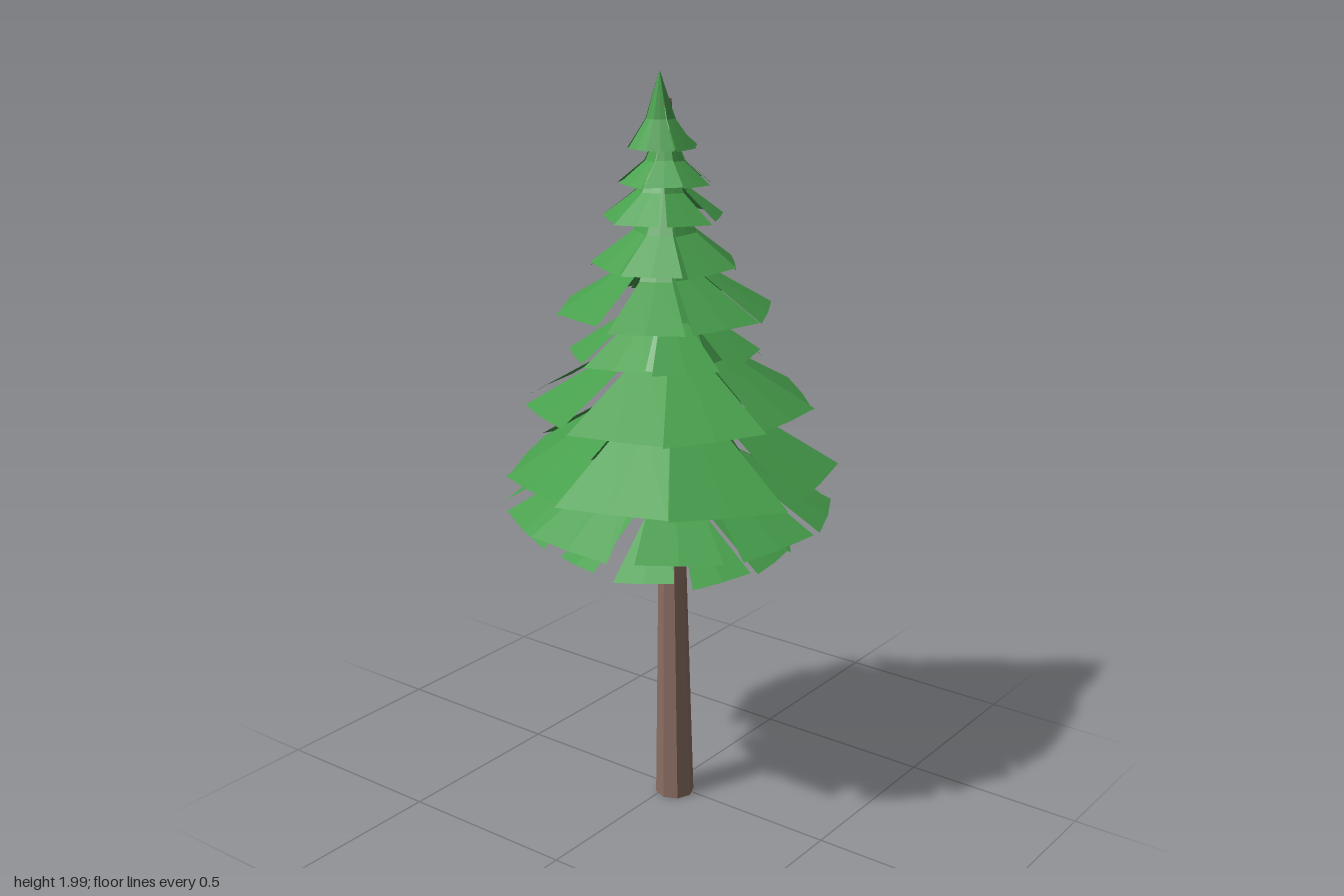
import * as THREE from 'three';

const bark = new THREE.MeshStandardMaterial({ color: 0x8a6d61, flatShading: true, side: THREE.DoubleSide });
bark.name = 'bark brown';
const needles = new THREE.MeshStandardMaterial({ color: 0x479f4c, flatShading: true, side: THREE.DoubleSide });
needles.name = 'needle green';

// Small seeded generator returning -1..1
function makeJitter(seed) {
  return () => {
    seed = (seed * 16807) % 2147483647;
    return (seed / 2147483647) * 2 - 1;
  };
}

// One drooping branch: a straight-edged panel that is steep by the trunk,
// flatter at the rim, and barely folded along its middle. It points along +z.
function branchGeometry(inner, radius, drop, halfAngle, roll) {
  const rings = [[inner, drop], [radius * 0.43, drop * 0.38], [radius, 0]];
  const points = [];
  const index = [];
  rings.forEach(([r, y], i) => {
    for (let j = -1; j <= 1; j++) {
      const a = j * halfAngle;
      const reach = j === 0 ? r * (Math.cos(halfAngle) + 0.015) : r;
      points.push(Math.sin(a) * reach, y + j * roll * r, Math.cos(a) * reach);
    }
    if (i === 0) return;
    for (let j = 0; j < 2; j++) {
      const a = (i - 1) * 3 + j, b = i * 3 + j;
      index.push(a, b, b + 1, a, b + 1, a + 1);
    }
  });
  const geo = new THREE.BufferGeometry();
  geo.setAttribute('position', new THREE.Float32BufferAttribute(points, 3));
  geo.setIndex(index);
  geo.computeVertexNormals();
  return geo;
}

export function createModel() {
  const tree = new THREE.Group();
  tree.name = 'pineTree';
  const jitter = makeJitter(4271);
  const { degToRad } = THREE.MathUtils;

  // Tapered open trunk, leaning slightly as it rises
  const trunkGeo = new THREE.CylinderGeometry(0.011, 0.053, 1.92, 8, 1, true);
  trunkGeo.translate(0, 0.96, 0);
  const p = trunkGeo.attributes.position;
  for (let i = 0; i < p.count; i++) {
    const t = p.getY(i) / 1.92;
    p.setX(i, p.getX(i) - 0.017 + 0.007 * t);
    p.setZ(i, p.getZ(i) + 0.025 - 0.03 * t);
  }
  trunkGeo.computeVertexNormals();
  const trunk = new THREE.Mesh(trunkGeo, bark);
  trunk.name = 'trunk';
  tree.add(trunk);

  // Tiers: rim height, radius, drop, centre x, centre z, branch half angle
  // and headings in degrees. The lowest tiers are sparse.
  const tiers = [
    [0.75, 0.32, 0.30, -0.02, 0.01, 14, [70, 108, 138, 170, -160, -105, -65, -28, 5, 38]],
    [0.845, 0.43, 0.38, -0.005, 0.0, 15.5, [63, 25, -12, -50, -90, -116, -163, 168, 127]],
    [0.96, 0.435, 0.41, 0.0, 0.0, 21.5, [112, 161, -155, -115, -75, -33, 13, 58]],
    [1.145, 0.375, 0.33, -0.03, 0.02, 21, [5, -35, -75, -120, -166, 141, 95, 48]],
    [1.28, 0.25, 0.25, -0.04, 0.01, 21, [-175, -130, -85, -40, 10, 55, 97, 140]],
    [1.39, 0.28, 0.26, -0.035, 0.0, 21, [-16, 27, 90, -62, -110, -150, 164, 125]],
    [1.51, 0.19, 0.22, -0.035, 0.01, 24, [-165, -115, -65, -12, 40, 90, 145]],
    [1.63, 0.155, 0.18, -0.035, 0.0, 24, [-180, -128, -80, -25, 27, 75, 130]],
    [1.715, 0.12, 0.15, -0.025, 0.0, 24, [-160, -108, -55, -5, 45, 100, 150]],
    [1.805, 0.08, 0.1, -0.015, 0.0, 24, [-170, -120, -70, -20, 35, 85, 135]],
  ];
  tiers.forEach(([y, radius, drop, x, z, half, headings], k) => {
    const tier = new THREE.Group();
    tier.name = `branchTier${k + 1}`;
    tier.position.set(x, y, z);
    for (const heading of headings) {
      const size = radius * (1 + 0.025 * jitter());
      const geo = branchGeometry(radius * 0.09, size, drop, degToRad(half + jitter()), 0.03 * jitter());
      const branch = new THREE.Mesh(geo, needles);
      branch.name = 'branch';
      branch.rotation.y = degToRad(heading);
      branch.position.y = 0.02 * radius * jitter();
      tier.add(branch);
    }
    tree.add(tier);
  });

  // Pointed crown made from the same branches meeting at the tip
  const crown = new THREE.Group();
  crown.name = 'crown';
  crown.position.set(-0.045, 1.803, -0.002);
  for (let i = 0; i < 7; i++) {
    const geo = branchGeometry(0, 0.085 + 0.008 * jitter(), 0.19, Math.PI / 7, 0);
    const branch = new THREE.Mesh(geo, needles);
    branch.name = 'crownBranch';
    branch.rotation.y = (i / 7) * Math.PI * 2;
    crown.add(branch);
  }
  tree.add(crown);

  return tree;
}
